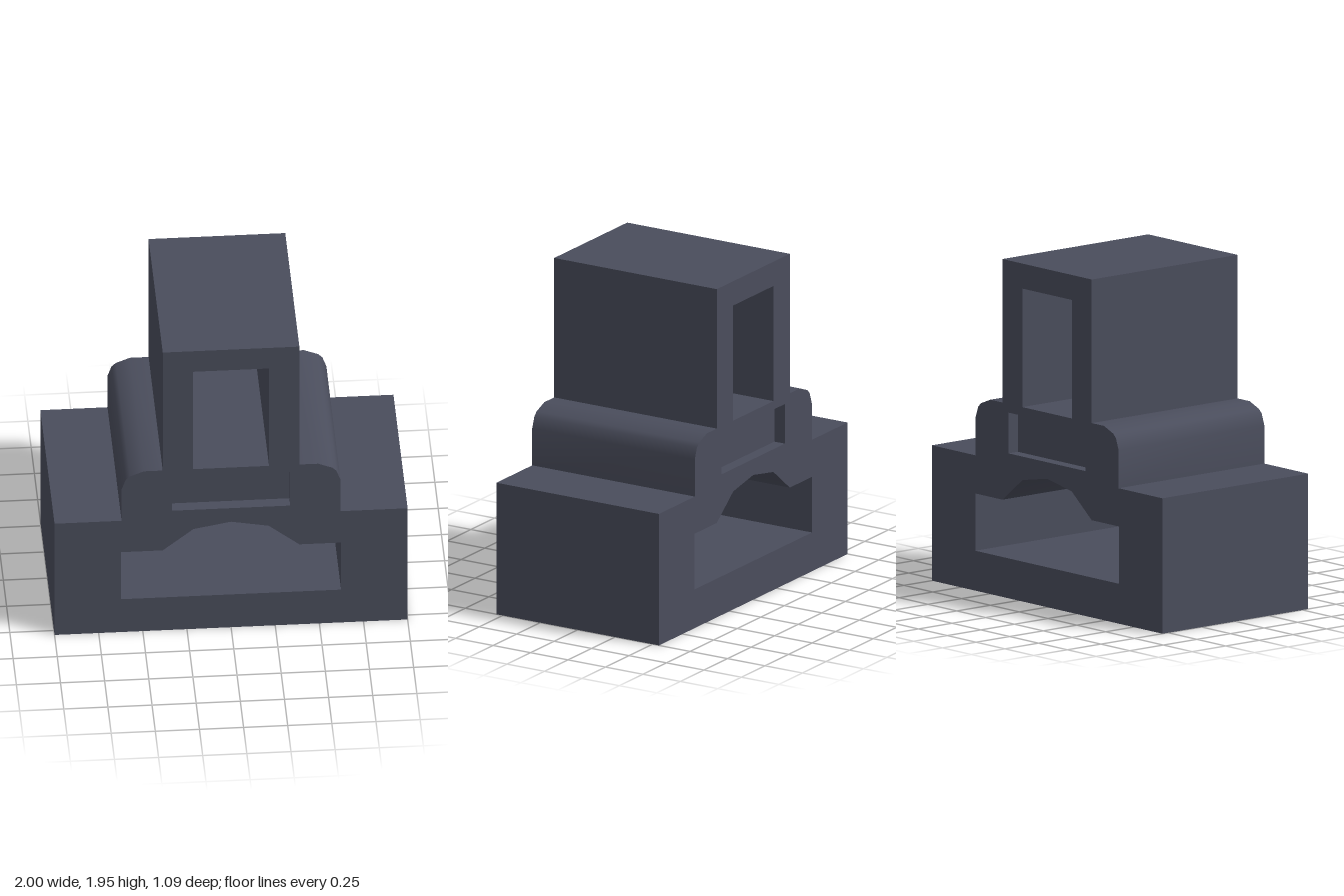
import * as THREE from 'three';
import { toCreasedNormals } from 'three/addons/utils/BufferGeometryUtils.js';

const DEPTH = 1.085;
const RECESS = 0.07;

// Mirrors a right-hand half profile (listed bottom to top) into a closed loop
function mirrored(half) {
  const left = half.filter(([x]) => x > 0).reverse().map(([x, y]) => [-x, y]);
  return [...half, ...left].map(([x, y]) => new THREE.Vector2(x, y));
}

export function createModel() {
  const group = new THREE.Group();
  const slate = new THREE.MeshStandardMaterial({ color: 0x4a4d5c });
  slate.name = 'slate';

  // Outline: wide base, rounded shoulders, narrow tower
  const outline = new THREE.Shape(mirrored([
    [1, 0], [1, 0.78], [0.62, 0.78], [0.62, 1.0], [0.597, 1.065],
    [0.573, 1.088], [0.493, 1.12], [0.387, 1.12], [0.387, 1.947],
  ]));

  // Openings: arched cavity, tower window, front and back recess
  const cavity = [[0.623, 0.23], [0.623, 0.56], [0.387, 0.56], [0.213, 0.7], [0, 0.74]];
  const towerWindow = [[0.215, 1.12], [0.215, 1.803]];
  const recess = [[0.335, 0.835], [0.335, 1.07]];
  for (const half of [cavity, towerWindow, recess]) {
    outline.holes.push(new THREE.Path(mirrored(half)));
  }

  const bodyGeometry = new THREE.ExtrudeGeometry(outline, { depth: DEPTH, bevelEnabled: false });
  bodyGeometry.translate(0, 0, -DEPTH / 2);
  const body = new THREE.Mesh(toCreasedNormals(bodyGeometry, THREE.MathUtils.degToRad(32)), slate);
  body.name = 'body';
  group.add(body);

  // Core that closes the recess a little behind both faces
  const core = new THREE.Mesh(new THREE.BoxGeometry(0.67, 0.235, DEPTH - 2 * RECESS), slate);
  core.position.y = 0.9525;
  core.name = 'recessFloor';
  group.add(core);

  return group;
}
